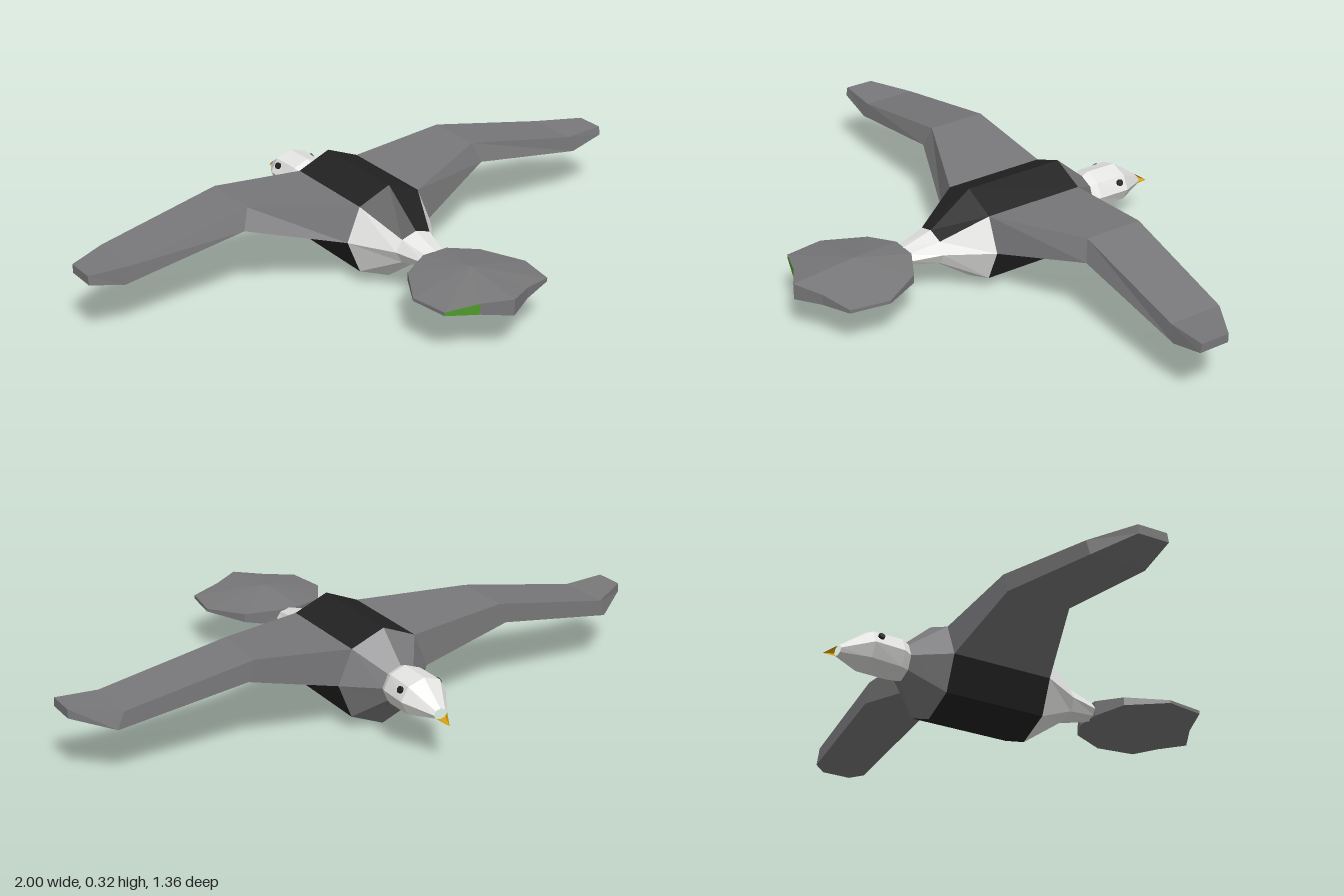
import * as THREE from 'three';

const material = (name, color) => {
  const m = new THREE.MeshStandardMaterial({ color, flatShading: true });
  m.name = name;
  return m;
};

// Flat-faced mesh from convex polygons (arrays of [x, y, z], counter-clockwise)
function polyMesh(name, mat, polys) {
  const pos = [];
  for (const p of polys)
    for (let i = 1; i < p.length - 1; i++) pos.push(...p[0], ...p[i], ...p[i + 1]);
  const geo = new THREE.BufferGeometry();
  geo.setAttribute('position', new THREE.Float32BufferAttribute(pos, 3));
  geo.computeVertexNormals();
  const mesh = new THREE.Mesh(geo, mat);
  mesh.name = name;
  return mesh;
}

// Octagonal ring across z
const ring = (z, cy, rx, ry) => Array.from({ length: 8 }, (_, k) => {
  const a = (k * Math.PI) / 4;
  return [rx * Math.cos(a), cy + ry * Math.sin(a), z];
});

// Quads between successive rings; pick(segment, side) names the bucket or returns null
function loft(rings, pick) {
  const buckets = {};
  for (let s = 0; s < rings.length - 1; s++) {
    const a = rings[s], b = rings[s + 1], n = a.length;
    for (let k = 0; k < n; k++) {
      const key = pick(s, k);
      if (!key) continue;
      const j = (k + 1) % n;
      (buckets[key] ??= []).push([a[k], a[j], b[j], b[k]]);
    }
  }
  return buckets;
}

export function createModel() {
  const grey = material('feather grey', 0x78787a);
  const white = material('white', 0xe4e5e2);
  const black = material('black', 0x222222);
  const yellow = material('beak yellow', 0xd8a012);
  const green = material('green', 0x4f9a2c);
  const model = new THREE.Group();
  model.name = 'bird';

  // Body: grey neck, black back and belly, white rump
  const bodyRings = [
    ring(-0.41, 0.172, 0.065, 0.062),
    ring(-0.31, 0.163, 0.16, 0.16),
    ring(0.035, 0.163, 0.16, 0.16),
    ring(0.18, 0.163, 0.075, 0.055),
    ring(0.285, 0.16, 0.045, 0.027),
  ];
  const body = loft(bodyRings, (s, k) => {
    const top = k === 1 || k === 2;
    if (s === 0) return 'neck';
    if (s === 1) return top ? 'back' : k >= 4 ? 'belly' : null; // wings cover the upper sides
    return s === 2 && top ? 'back' : 'rump';
  });
  const bodyMats = { neck: grey, back: black, belly: black, rump: white };
  for (const key in body) model.add(polyMesh(key, bodyMats[key], body[key]));

  // Head and beak
  const headRings = [
    ring(-0.63, 0.16, 0.024, 0.017),
    ring(-0.54, 0.18, 0.08, 0.063),
    ring(-0.435, 0.178, 0.075, 0.067),
    ring(-0.405, 0.172, 0.062, 0.06),
  ];
  const head = loft(headRings, () => 'head').head;
  head.push(headRings[3]);
  model.add(polyMesh('head', white, head));
  const beakBase = headRings[0], tip = [0, 0.139, -0.68];
  model.add(polyMesh('beak', yellow,
    beakBase.map((p, k) => [tip, beakBase[(k + 1) % 8], p].reverse())));

  // Eyes: thin discs on the upper cheeks
  for (const side of [1, -1]) {
    const eye = new THREE.Mesh(new THREE.CylinderGeometry(0.011, 0.011, 0.009, 8), black);
    eye.name = side > 0 ? 'leftEye' : 'rightEye';
    eye.position.set(side * 0.068, 0.209, -0.515);
    eye.rotation.z = -side * 1.1;
    model.add(eye);
  }

  // Wings: [xTop, yTop, xBottom, yBottom, zFront, zRearTop, zRearBottom]
  const wingSections = [
    [0.113, 0.276, 0.16, 0.163, -0.31, 0.035, 0.035],
    [0.44, 0.31, 0.465, 0.242, -0.302, -0.105, -0.085],
    [0.86, 0.23, 0.88, 0.175, -0.28, -0.1, -0.095],
    [1, 0.237, 1, 0.208, -0.198, -0.1, -0.095],
  ];
  for (const side of [1, -1]) {
    const rings = wingSections.map(([xt, yt, xb, yb, zf, zt, zb]) => {
      const r = [[side * xb, yb, zf], [side * xt, yt, zf], [side * xt, yt, zt], [side * xb, yb, zb]];
      return side > 0 ? r : r.reverse();
    });
    const wing = loft(rings, () => 'wing').wing;
    wing.push(rings[3]);
    model.add(polyMesh(side > 0 ? 'leftWing' : 'rightWing', grey, wing));
  }

  // Tail fan: rim points [x, z, half thickness] around a domed centre
  const half = [[0.09, 0.625, 0.018], [0.195, 0.59, 0.006], [0.215, 0.46, 0.005],
    [0.14, 0.33, 0.014], [0.045, 0.28, 0.026]];
  const rim = [[0, 0.675, 0.027], ...half,
    ...half.map(([x, z, h]) => [-x, z, h]).reverse()];
  const cy = 0.161, tail = [], patch = [];
  rim.forEach(([x, z, h], i) => {
    const [x2, z2, h2] = rim[(i + 1) % rim.length];
    const up = [x, cy + h, z], up2 = [x2, cy + h2, z2];
    const low = [x, cy - h, z], low2 = [x2, cy - h2, z2];
    tail.push([[0, 0.211, 0.46], up, up2], [[0, 0.111, 0.46], low2, low]);
    (i === rim.length - 2 ? patch : tail).push([low, low2, up2, up]);
  });
  model.add(polyMesh('tail', grey, tail));
  model.add(polyMesh('tailPatch', green, patch));

  return model;
}
